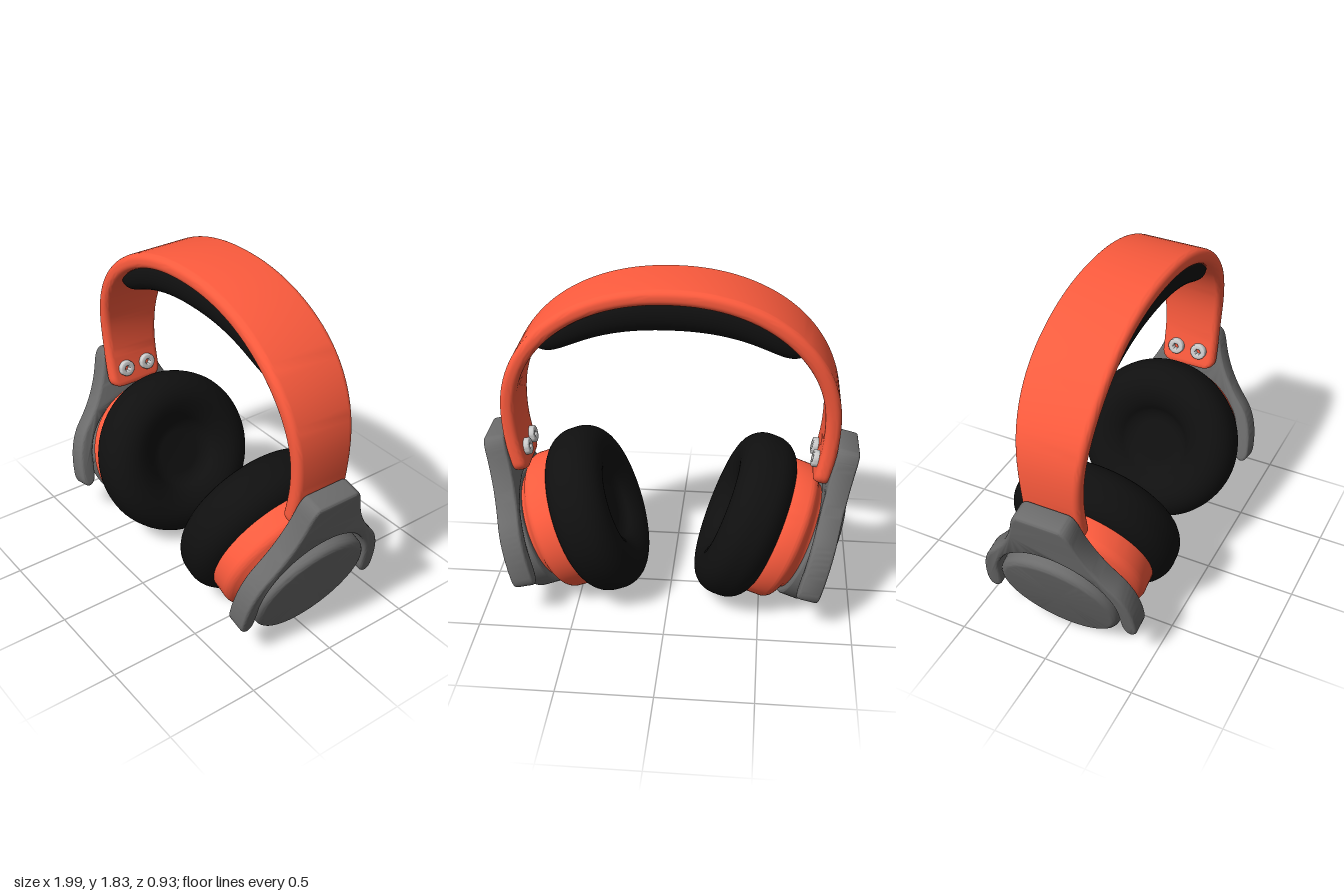
import * as THREE from 'three';
import { toCreasedNormals } from 'three/addons/utils/BufferGeometryUtils.js';

const mat = (color) => new THREE.MeshStandardMaterial({ color });
const ORANGE = mat(0xff5c3e), BLACK = mat(0x101010), GREY = mat(0x6c6c6c), STEEL = mat(0xcccccc);

function part(parent, name, geometry, material) {
  const mesh = new THREE.Mesh(geometry, material);
  mesh.name = name;
  parent.add(mesh);
  return mesh;
}

// Turned part: corners are [radius, height, fillet]
function turned(corners, segments = 72) {
  const v = corners.map(([x, y]) => new THREE.Vector2(x, y));
  const path = new THREE.Path().moveTo(v[0].x, v[0].y);
  for (let i = 1; i < v.length; i++) {
    const f = corners[i][2] || 0;
    if (!f || i === v.length - 1) { path.lineTo(v[i].x, v[i].y); continue; }
    const a = v[i].clone().add(v[i - 1].clone().sub(v[i]).setLength(f));
    const b = v[i].clone().add(v[i + 1].clone().sub(v[i]).setLength(f));
    path.lineTo(a.x, a.y);
    // near-circular corner
    const c1 = a.clone().lerp(v[i], 0.55), c2 = b.clone().lerp(v[i], 0.55);
    path.bezierCurveTo(c1.x, c1.y, c2.x, c2.y, b.x, b.y);
  }
  return toCreasedNormals(new THREE.LatheGeometry(path.getPoints(8), segments), 0.6);
}

// Rounded rectangle as [normal, z] pairs
function roundedSection(hw, hd, r) {
  r = Math.min(r, hw, hd);
  const out = [];
  for (let k = 0; k < 4; k++) {
    const mid = (k + 0.5) * Math.PI / 2;
    for (let j = 0; j <= 6; j++) {
      const a = (k + j / 6) * Math.PI / 2;
      out.push([Math.sign(Math.cos(mid)) * (hd - r) + r * Math.cos(a),
        Math.sign(Math.sin(mid)) * (hw - r) + r * Math.sin(a)]);
    }
  }
  return out;
}

// Sweeps a varying section along a curve in the xy plane; sectionAt(k, point) with k from -1 to 1
function sweep(curve, u0, u1, steps, sectionAt) {
  const pos = [], idx = [];
  let n = 0;
  for (let i = -1; i <= steps + 1; i++) {
    const k = -Math.cos(Math.PI * THREE.MathUtils.clamp(i / steps, 0, 1));
    const u = THREE.MathUtils.clamp(u0 + (u1 - u0) * (k + 1) / 2, 0, 1);
    const p = curve.getPointAt(u), t = curve.getTangentAt(u);
    const { hw, hd, r, shift = 0 } = sectionAt(k, p);
    const s = i < 0 || i > steps ? 0 : 1; // end rings collapse to close the sweep
    const ring = roundedSection(hw, hd, r);
    n = ring.length;
    for (const [a, z] of ring) {
      const d = a * s + shift;
      pos.push(p.x - t.y * d, p.y + t.x * d, z * s);
    }
  }
  for (let i = 0; i < steps + 2; i++) for (let j = 0; j < n; j++) {
    const a = i * n + j, b = i * n + (j + 1) % n;
    idx.push(a, b, a + n, b, b + n, a + n);
  }
  const g = new THREE.BufferGeometry();
  g.setAttribute('position', new THREE.Float32BufferAttribute(pos, 3));
  g.setIndex(idx);
  return toCreasedNormals(g, 0.7);
}

// Centre line of the band, from its -x end over the crown to its +x end
function bandCurve() {
  const side = [[0.795, 0.757], [0.821, 0.87], [0.838, 0.98]];
  const pts = side.map(([x, y]) => new THREE.Vector3(-x, y, 0));
  const N = 24, e = 2 / 2.13;
  for (let i = 0; i <= N; i++) {
    const c = -Math.cos(Math.PI * i / N), s = Math.sin(Math.PI * i / N);
    pts.push(new THREE.Vector3(0.844 * Math.sign(c) * Math.abs(c) ** e, 1.1 + 0.69 * Math.max(s, 0) ** e, 0));
  }
  for (const [x, y] of side.reverse()) pts.push(new THREE.Vector3(x, y, 0));
  const curve = new THREE.CatmullRomCurve3(pts);
  curve.arcLengthDivisions = 800;
  return curve;
}

// Forked arm plate, drawn facing outward with the pivot at the origin
function yokeGeometry() {
  const s = new THREE.Shape();
  s.moveTo(-0.11, 0.642);
  s.lineTo(0.11, 0.642);
  s.quadraticCurveTo(0.145, 0.637, 0.165, 0.57);
  s.bezierCurveTo(0.2, 0.44, 0.25, 0.345, 0.345, 0.235);
  s.bezierCurveTo(0.42, 0.15, 0.44, 0.03, 0.44, -0.07);
  s.bezierCurveTo(0.44, -0.155, 0.36, -0.155, 0.355, -0.06);
  s.lineTo(0.35, 0);
  s.absarc(0, 0, 0.35, 0, Math.PI, false);
  s.lineTo(-0.355, -0.06);
  s.bezierCurveTo(-0.36, -0.155, -0.44, -0.155, -0.44, -0.07);
  s.bezierCurveTo(-0.44, 0.03, -0.42, 0.15, -0.345, 0.235);
  s.bezierCurveTo(-0.25, 0.345, -0.2, 0.44, -0.165, 0.57);
  s.quadraticCurveTo(-0.145, 0.637, -0.11, 0.642);
  const b = 0.018;
  const g = new THREE.ExtrudeGeometry(s, {
    depth: 0.12 - 2 * b, bevelThickness: b, bevelSize: b, bevelOffset: -b, bevelSegments: 4, curveSegments: 20,
  });
  g.translate(0, 0, b - 0.06);
  return toCreasedNormals(g, 0.6);
}

// Screw head with a hexagonal socket, facing +z
function boltGeometry() {
  const s = new THREE.Shape().absarc(0, 0, 0.038, 0, Math.PI * 2, false);
  const hex = new THREE.Path();
  for (let i = 0; i < 6; i++) {
    const a = -i * Math.PI / 3, x = 0.026 * Math.cos(a), y = 0.026 * Math.sin(a);
    if (i) hex.lineTo(x, y); else hex.moveTo(x, y);
  }
  hex.closePath();
  s.holes.push(hex);
  return toCreasedNormals(new THREE.ExtrudeGeometry(s, {
    depth: 0.034, bevelThickness: 0.008, bevelSize: 0.008, bevelSegments: 3, curveSegments: 16,
  }), 0.6);
}

// One ear side, built on +x
function earSide() {
  const side = new THREE.Group();

  // Ear cup, turned about its tilted axis
  const cup = new THREE.Group();
  cup.name = 'earCup';
  cup.position.set(0.41, 0.467, 0);
  cup.rotation.z = -1.94;
  side.add(cup);
  part(cup, 'earCushion', turned([[0, -0.065], [0.17, -0.065, 0.05], [0.25, -0.16, 0.08],
    [0.466, -0.16, 0.135], [0.466, 0.15, 0.135], [0, 0.15]]), BLACK);
  part(cup, 'cupHousing', turned([[0, 0.1], [0.39, 0.1, 0.02], [0.39, 0.255, 0.03],
    [0.31, 0.305, 0.02], [0.295, 0.34], [0, 0.34]]), ORANGE);
  part(cup, 'cupCap', turned([[0, 0.32], [0.337, 0.32, 0.015], [0.337, 0.462, 0.04], [0, 0.462]]), GREY);

  // Fork holding the cup, with its pivot pins
  const yoke = new THREE.Group();
  yoke.name = 'yoke';
  yoke.position.set(0.785, 0.33, 0);
  yoke.rotation.z = -0.244;
  side.add(yoke);
  part(yoke, 'yokePlate', yokeGeometry(), GREY).rotation.y = Math.PI / 2;
  for (const z of [-1, 1]) {
    const pin = part(yoke, 'pivotPin', new THREE.CylinderGeometry(0.028, 0.028, 0.09, 20), STEEL);
    pin.rotation.x = Math.PI / 2;
    pin.position.z = z * 0.345;
  }

  // Screws on the inside of the band
  for (const z of [-0.07, 0.07]) {
    const bolt = new THREE.Group();
    bolt.name = 'bolt';
    bolt.position.set(0.792, 0.872, z);
    bolt.rotation.z = -0.2;
    part(bolt, 'boltHead', boltGeometry(), STEEL).rotation.y = -Math.PI / 2;
    side.add(bolt);
  }
  return side;
}

export function createModel() {
  const model = new THREE.Group();
  model.name = 'headphones';
  const curve = bandCurve(), length = curve.getLength();

  // Headband, wider at the crown, rounded at both ends
  part(model, 'headband', sweep(curve, 0, 1, 110, (k, p) => {
    const s = (1 - Math.abs(k)) / 2 * length;
    const round = (c) => (s < c ? c - Math.sqrt(c * c - (c - s) ** 2) : 0);
    const hw = THREE.MathUtils.lerp(0.164, 0.207, THREE.MathUtils.smoothstep(p.y, 0.95, 1.65));
    return { hw: hw - round(0.06), hd: 0.041 - round(0.02), r: 0.034 };
  }), ORANGE);

  // Padding under the crown, thinner towards its ends
  part(model, 'headbandPad', sweep(curve, 0.247, 0.753, 64, (k) => {
    const end = Math.sqrt(Math.max(0, 1 - Math.abs(k) ** 14));
    const d = THREE.MathUtils.lerp(0.207, 0.115, k * k) * (0.35 + 0.65 * end);
    const hw = 0.1 + 0.07 * Math.sqrt(Math.max(0, 1 - Math.abs(k) ** 8));
    return { hw, hd: d / 2, r: d * 0.45, shift: -d / 2 };
  }), BLACK);

  // Ear sides
  const left = earSide(), right = earSide();
  left.name = 'leftSide';
  right.name = 'rightSide';
  right.rotation.y = Math.PI;
  model.add(left, right);
  return model;
}
